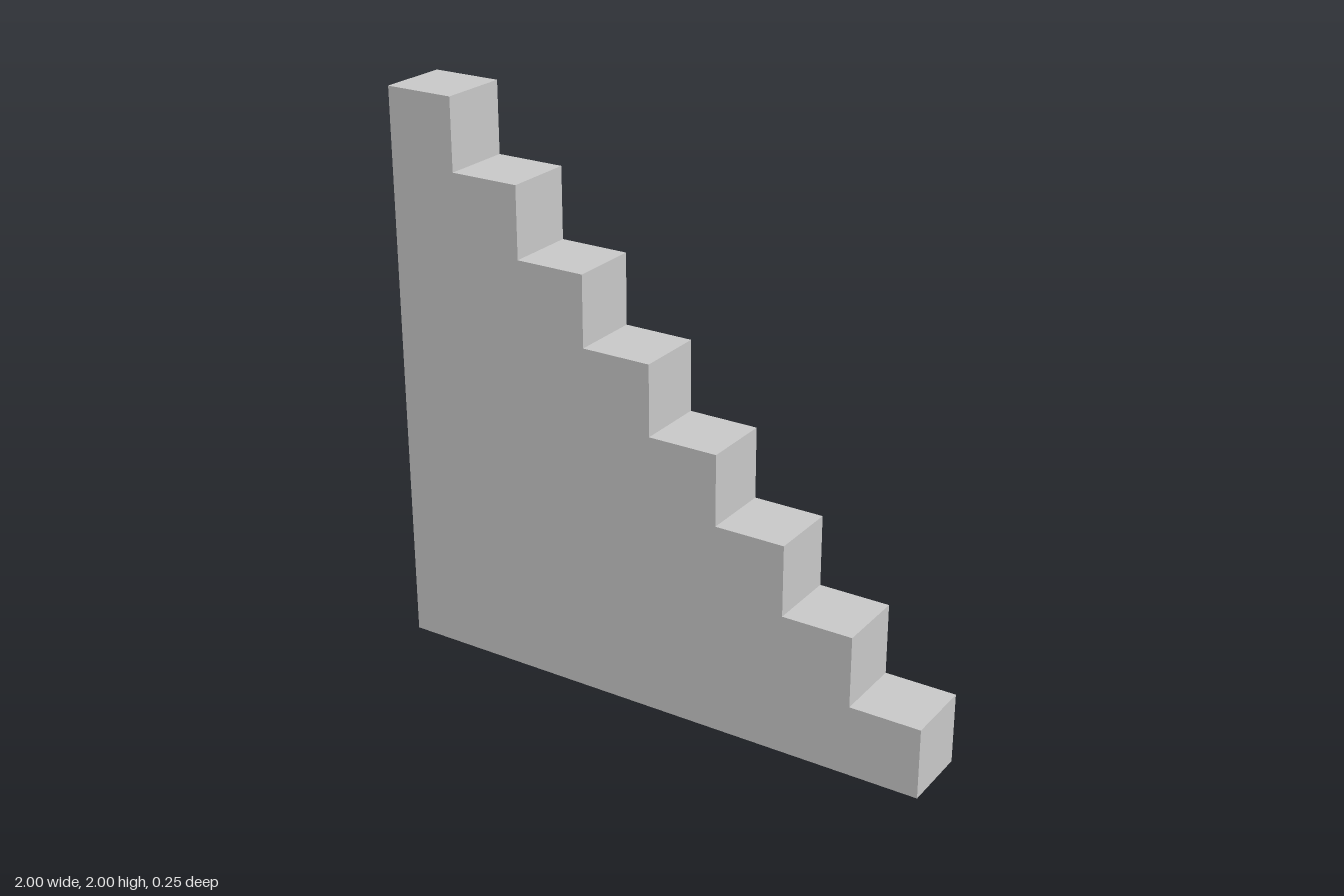
import * as THREE from 'three';

const STEPS = 8;
const STEP = 2 / STEPS; // tread, riser and thickness are all equal

export function createModel() {
  const model = new THREE.Group();
  model.name = 'staircase';

  // Stepped side profile, climbing towards -x
  const profile = new THREE.Shape();
  profile.moveTo(-1, 0);
  profile.lineTo(1, 0);
  for (let i = 0; i < STEPS; i++) {
    const y = (i + 1) * STEP;
    profile.lineTo(1 - i * STEP, y); // riser
    profile.lineTo(1 - (i + 1) * STEP, y); // tread
  }
  profile.closePath();

  // Solid flight of steps, centred in depth
  const geometry = new THREE.ExtrudeGeometry(profile, { depth: STEP, bevelEnabled: false });
  geometry.translate(0, 0, -STEP / 2);
  const material = new THREE.MeshStandardMaterial({ color: 0xcccccc, flatShading: true });
  const steps = new THREE.Mesh(geometry, material);
  steps.name = 'steps';
  model.add(steps);

  return model;
}
